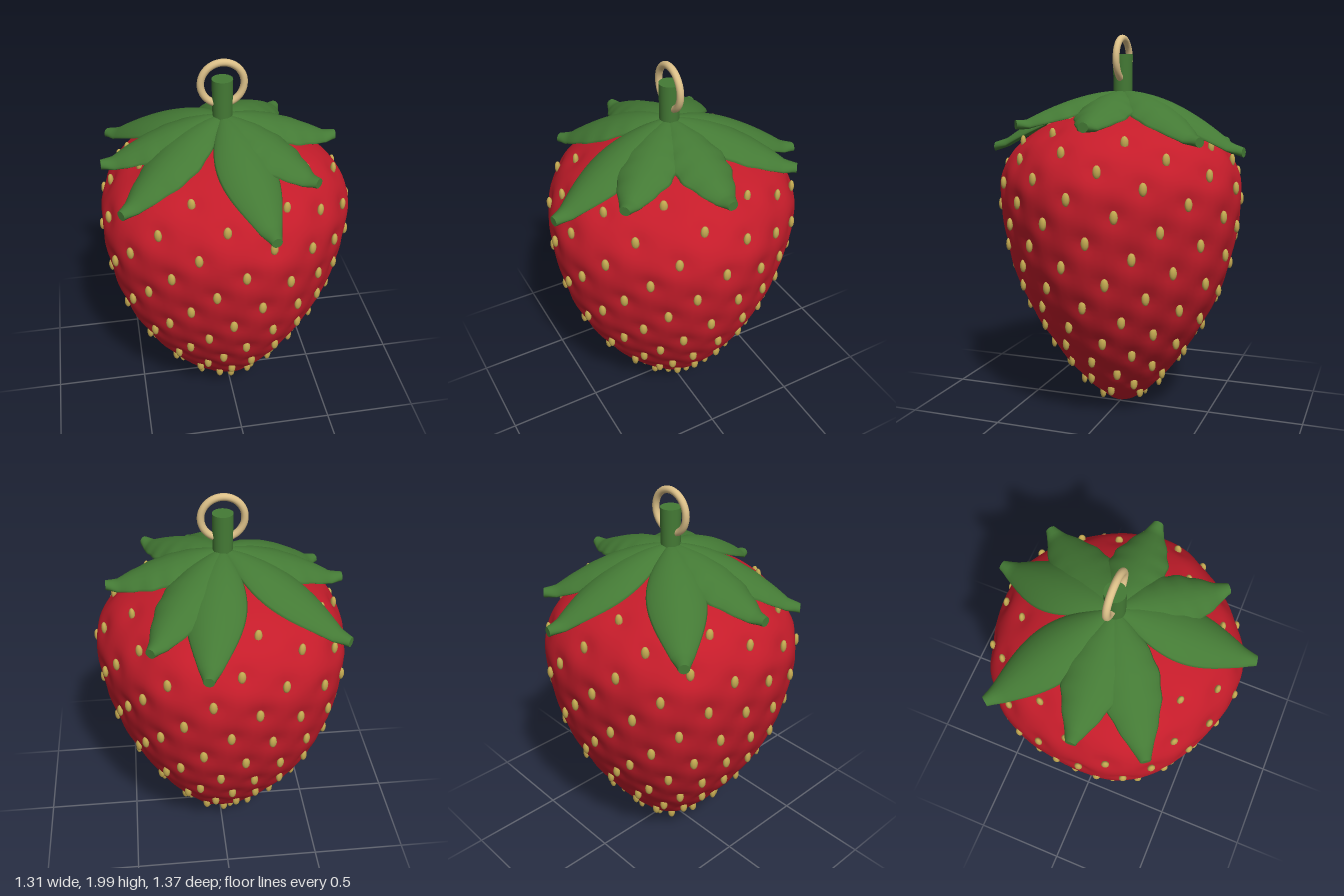
import * as THREE from 'three';
import { mergeGeometries, mergeVertices } from 'three/addons/utils/BufferGeometryUtils.js';

const mat = (name, color) => {
  const m = new THREE.MeshStandardMaterial({ color });
  m.name = name;
  return m;
};
const AXIS_X = -0.02, AXIS_Z = -0.008;

// Berry silhouette, radius against height
const profile = new THREE.SplineCurve([
  [0, 0.01], [0.075, 0.042], [0.165, 0.11], [0.252, 0.2], [0.397, 0.4], [0.507, 0.6], [0.583, 0.8],
  [0.624, 1.0], [0.64, 1.15], [0.629, 1.28], [0.56, 1.41], [0.45, 1.5], [0.3, 1.575], [0.14, 1.615], [0, 1.625],
].map(([r, y]) => new THREE.Vector2(r, y))).getPoints(90);

function radiusAt(y) {
  for (let i = 1; i < profile.length; i++) {
    const a = profile[i - 1], b = profile[i];
    if (y <= b.y) return THREE.MathUtils.mapLinear(y, a.y, b.y, a.x, b.x);
  }
  return 0;
}

// Five soft lobes around the axis
const lobe = (angle) => 1 + 0.021 * Math.cos(5 * (angle - THREE.MathUtils.degToRad(156)));

// Seeds follow a golden-angle spiral down the berry
function seedSpots() {
  const spots = [];
  for (let k = -41; k <= 114; k++) {
    const y = 1.196 - 0.0098 * k;
    const angle = THREE.MathUtils.degToRad(0.4 + 137.508 * k);
    const r = radiusAt(y) * lobe(angle);
    spots.push({ angle, pos: new THREE.Vector3(r * Math.sin(angle), y, r * Math.cos(angle)) });
  }
  return spots;
}

// Lathed body, slightly lobed, with a soft dimple around every seed
function berryGeometry(spots) {
  let g = new THREE.LatheGeometry(profile, 96);
  g.deleteAttribute('uv');
  g.deleteAttribute('normal');
  g = mergeVertices(g, 1e-4);
  const p = g.attributes.position, v = new THREE.Vector3(), out = new THREE.Vector3();
  for (let i = 0; i < p.count; i++) {
    v.fromBufferAttribute(p, i);
    const fade = Math.min(1, Math.hypot(v.x, v.z) / 0.25);
    const k = lobe(Math.atan2(v.x, v.z));
    v.set(v.x * k, v.y, v.z * k);
    out.set(v.x, 0, v.z).normalize();
    let dent = 0;
    for (const s of spots) dent += Math.exp(-v.distanceToSquared(s.pos) / 0.003);
    v.addScaledVector(out, fade * (0.004 - 0.018 * Math.min(dent, 1.2)));
    p.setXYZ(i, v.x, v.y, v.z);
  }
  g.computeVertexNormals();
  return g;
}

function seedGeometry(spots) {
  return mergeGeometries(spots.map(({ angle, pos }) => {
    const g = new THREE.SphereGeometry(1, 10, 8);
    g.scale(0.02, 0.033, 0.015);
    g.rotateY(angle);
    return g.translate(pos.x, pos.y, pos.z);
  }));
}

// Leaf: a tube of flattened sections, arched along its length and across its width
function leafGeometry(length, tipY, wave) {
  const g = new THREE.CylinderGeometry(1, 1, 1, 20, 28);
  const p = g.attributes.position;
  for (let i = 0; i < p.count; i++) {
    const x = p.getX(i), s = p.getY(i) + 0.5, z = p.getZ(i);
    const belly = Math.pow(Math.sin(Math.PI * Math.pow(s, 0.88)), 1.15);
    const ripple = wave * Math.sin(s * 34) * belly;
    const width = 0.03 * (1 - s) + 0.026 * s + 0.115 * belly + ripple;
    const thick = 0.018 + 0.006 * s;
    const drop = (1.71 - tipY) * Math.pow(s, 1.7);
    const curl = 0.03 * Math.max(0, (s - 0.9) / 0.1);
    const droop = 0.05 * belly * x * x;
    p.setXYZ(i, x * width, 1.695 - drop + curl - droop - z * thick, 0.03 + s * (length - 0.03));
  }
  g.computeVertexNormals();
  return g;
}

export function createModel() {
  const red = mat('berry red', 0xc41c2a);
  const green = mat('leaf green', 0x447a35);
  const gold = mat('seed gold', 0xc2a850);
  const tan = mat('ring tan', 0xdcc088);

  const model = new THREE.Group();
  model.name = 'strawberryCharm';
  const body = new THREE.Group();
  body.name = 'strawberry';
  body.position.set(AXIS_X, 0, AXIS_Z);
  model.add(body);

  const add = (name, geometry, material, parent = body) => {
    const m = new THREE.Mesh(geometry, material);
    m.name = name;
    parent.add(m);
    return m;
  };

  const spots = seedSpots();
  add('berry', berryGeometry(spots), red);
  add('seeds', seedGeometry(spots), gold);

  // Leaf crown: tip x, tip z, tip height, edge ripple
  const crown = new THREE.Group();
  crown.name = 'leafCrown';
  body.add(crown);
  [
    [0.11, -0.68, 1.4, 0], [0.36, -0.52, 1.46, 0.004], [0.56, -0.015, 1.53, 0.006], [0.36, 0.43, 1.53, 0.006],
    [0.11, 0.68, 1.4, 0], [-0.56, 0.365, 1.41, 0.004], [-0.63, 0.02, 1.49, 0.005], [-0.58, -0.45, 1.41, 0],
  ].forEach(([x, z, y, wave], i) => {
    const dx = x - AXIS_X, dz = z - AXIS_Z;
    const leaf = add('leaf' + (i + 1), leafGeometry(Math.hypot(dx, dz), y, wave), green, crown);
    leaf.rotation.y = Math.atan2(dx, dz);
  });

  // Stem
  add('stem', new THREE.CylinderGeometry(0.052, 0.048, 0.3, 24).translate(0, 1.75, 0), green);

  // Hanging ring through the stem
  add('ring', new THREE.TorusGeometry(0.106, 0.018, 14, 56).translate(0, 1.876, 0), tan);

  return model;
}
